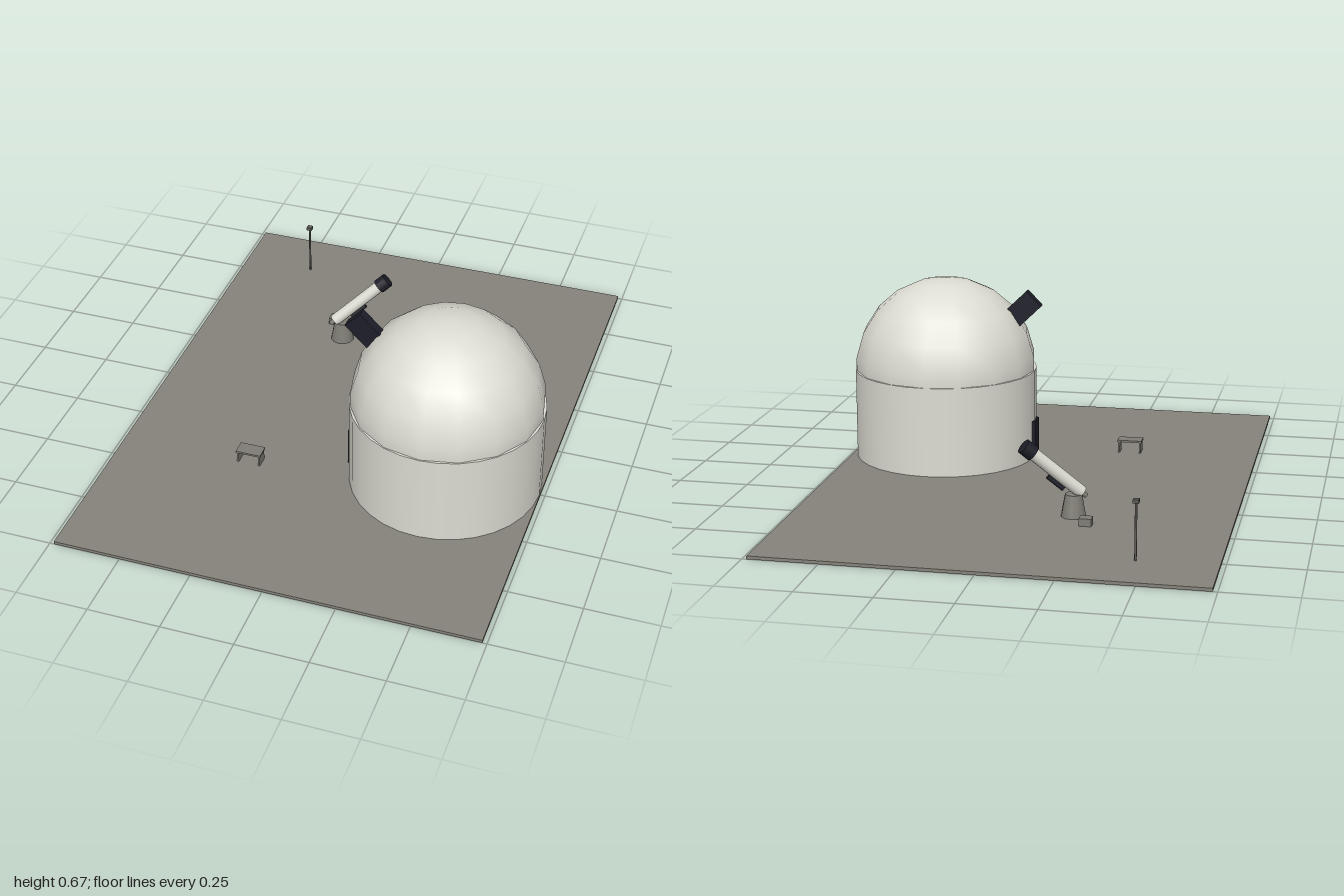
import * as THREE from 'three';

export function createModel() {
  const model = new THREE.Group();
  model.name = 'observatory';

  const material = (name, color) => {
    const m = new THREE.MeshStandardMaterial({ color });
    m.name = name;
    return m;
  };
  const ground = material('groundGrey', 0x85837a);
  const white = material('warmWhite', 0xdddcd2);
  const dark = material('darkNavy', 0x1e1e29);
  const metal = material('metalGrey', 0x7f7d74);
  const steel = material('darkSteel', 0x5c5b57);

  const add = (name, geometry, mat, x, y, z, parent = model) => {
    const mesh = new THREE.Mesh(geometry, mat);
    mesh.name = name;
    mesh.position.set(x, y, z);
    parent.add(mesh);
    return mesh;
  };
  const box = (w, h, d) => new THREE.BoxGeometry(w, h, d);
  const cyl = (top, bottom, h, n) => new THREE.CylinderGeometry(top, bottom, h, n);

  // Ground slab
  const top = 0.011;
  add('groundSlab', box(1.47, top, 2), ground, 0, top / 2, 0);

  // Main building: round wall and a dome that dips slightly inside it
  const cx = 0.4, cz = 0.265, r = 0.333, seam = 0.335;
  add('wall', cyl(r, r, seam - 0.005, 32), white, cx, (seam + 0.005) / 2, cz);
  add('dome', new THREE.SphereGeometry(r, 16, 6, 0, Math.PI * 2, 0, Math.PI * 6 / 11), white, cx, seam, cz);

  // Door and the dark box standing out of the dome
  add('door', box(0.016, 0.14, 0.075), dark, 0.067, top + 0.07, cz);
  const slit = add('domeOpening', box(0.2, 0.077, 0.035), dark, 0.14, 0.536, cz);
  slit.rotation.z = -0.77;

  // Small telescope: pedestal, tube, dark hood, eyepiece and finder
  const telescope = new THREE.Group();
  telescope.name = 'telescope';
  model.add(telescope);
  add('pedestal', cyl(0.029, 0.043, 0.077, 12), metal, -0.2, top + 0.0385, -0.4, telescope);

  const low = new THREE.Vector3(-0.226, 0.092, -0.39);
  const high = new THREE.Vector3(-0.044, 0.263, -0.467);
  const axis = high.clone().sub(low);
  const length = axis.length();
  const barrel = new THREE.Group();
  barrel.name = 'barrel';
  barrel.position.copy(low);
  barrel.quaternion.setFromUnitVectors(new THREE.Vector3(0, 1, 0), axis.normalize());
  telescope.add(barrel);
  add('tube', cyl(0.022, 0.022, length - 0.02, 16), white, 0, (length - 0.02) / 2, 0, barrel);
  add('hood', cyl(0.027, 0.027, 0.042, 16), dark, 0, length - 0.021, 0, barrel);
  add('eyepiece', cyl(0.009, 0.009, 0.024, 10), metal, 0, -0.008, 0, barrel);
  const finder = add('finder', cyl(0.008, 0.008, 0.07, 10), dark, -0.143, 0.13, -0.424, telescope);
  finder.quaternion.copy(barrel.quaternion);

  // Equipment box beside the telescope
  add('equipmentBox', box(0.042, 0.026, 0.038), metal, -0.257, top + 0.013, -0.486);

  // Bench with a panel leg at each end
  const bench = new THREE.Group();
  bench.name = 'bench';
  bench.position.set(-0.268, 0, 0.396);
  model.add(bench);
  add('benchSeat', box(0.09, 0.007, 0.052), metal, 0, 0.055, 0, bench);
  for (const side of [-1, 1]) {
    add('benchLeg', box(0.006, 0.042, 0.045), metal, side * 0.039, top + 0.0205, 0, bench);
  }

  // Thin mast with a sensor head
  add('mast', cyl(0.004, 0.004, 0.195, 8), steel, -0.47, top + 0.0965, -0.8);
  add('mastHead', box(0.02, 0.012, 0.02), steel, -0.47, 0.206, -0.8);

  return model;
}
